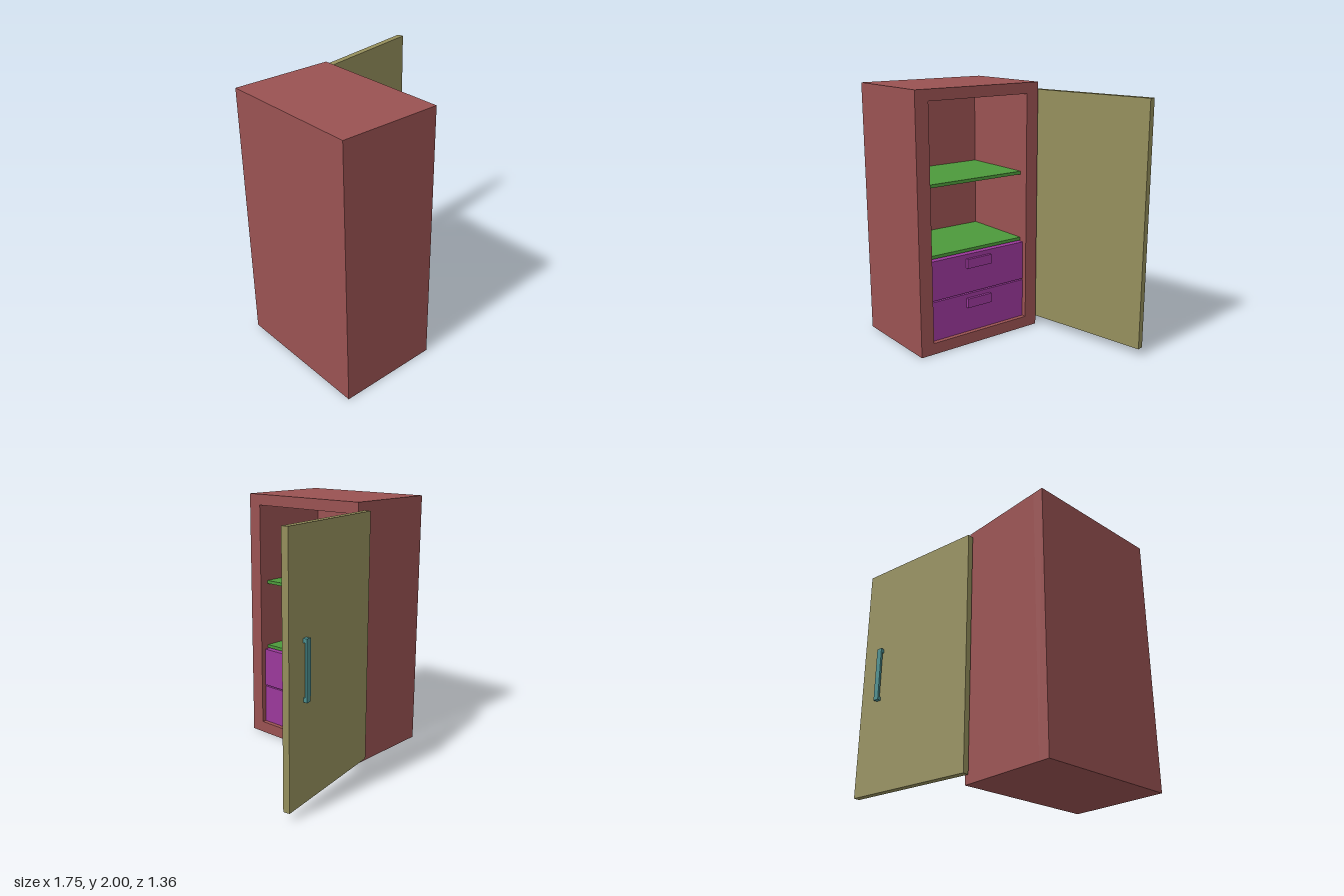
import * as THREE from 'three';

const material = (color) => new THREE.MeshStandardMaterial({ color });
const red = material(0x9a5252);
const olive = material(0x958f5c);
const green = material(0x4d993b);
const purple = material(0x9b389b);
const teal = material(0x4c8f8f);

// Box given by its [min, max] range on each axis
function box(name, mat, [x0, x1], [y0, y1], [z0, z1]) {
  const mesh = new THREE.Mesh(new THREE.BoxGeometry(x1 - x0, y1 - y0, z1 - z0), mat);
  mesh.position.set((x0 + x1) / 2, (y0 + y1) / 2, (z0 + z1) / 2);
  mesh.name = name;
  return mesh;
}

function rectangle(PathType, x0, x1, y0, y1) {
  return new PathType([[x0, y0], [x1, y0], [x1, y1], [x0, y1]].map(([x, y]) => new THREE.Vector2(x, y)));
}

// Hollow case that opens towards +x, closed by a back panel
function createCase() {
  const group = new THREE.Group();
  group.name = 'cabinetCase';
  const outline = rectangle(THREE.Shape, -0.68, 0.43, 0, 2);
  outline.holes.push(rectangle(THREE.Path, -0.57, 0.32, 0.09, 1.915));
  const geometry = new THREE.ExtrudeGeometry(outline, { depth: 0.69, bevelEnabled: false });
  geometry.rotateY(Math.PI / 2).translate(-0.79, 0, 0);
  const walls = new THREE.Mesh(geometry, red);
  walls.name = 'caseWalls';
  group.add(walls, box('backPanel', red, [-0.875, -0.79], [0, 2], [-0.43, 0.68]));
  return group;
}

// Drawer with a small block grip on its face
function createDrawer(y0, y1) {
  const group = new THREE.Group();
  group.name = 'drawer';
  group.add(
    box('drawerBody', purple, [-0.79, -0.137], [y0, y1], [-0.318, 0.568]),
    box('drawerGrip', purple, [-0.137, -0.114], [y1 - 0.11, y1 - 0.035], [0.015, 0.24])
  );
  return group;
}

// Open door with a bar handle on its outer face
function createDoor() {
  const group = new THREE.Group();
  group.name = 'door';
  group.add(
    box('doorPanel', olive, [-0.518, 0.518], [0.06, 1.94], [-0.025, 0.025]),
    box('handleBar', teal, [0.313, 0.357], [0.785, 1.215], [-0.057, -0.04])
  );
  for (const y of [0.785, 1.185]) {
    group.add(box('handleFoot', teal, [0.317, 0.353], [y, y + 0.03], [-0.04, -0.025]));
  }
  group.position.set(0.356, 0, -0.5625);
  group.rotation.y = THREE.MathUtils.degToRad(10.2);
  return group;
}

export function createModel() {
  const model = new THREE.Group();
  model.name = 'cabinet';
  model.add(createCase(), createDoor());
  for (const y of [0.73, 1.275]) {
    model.add(box('shelf', green, [-0.79, -0.173], [y, y + 0.025], [-0.32, 0.57]));
  }
  model.add(createDrawer(0.09, 0.402), createDrawer(0.412, 0.724));
  return model;
}
